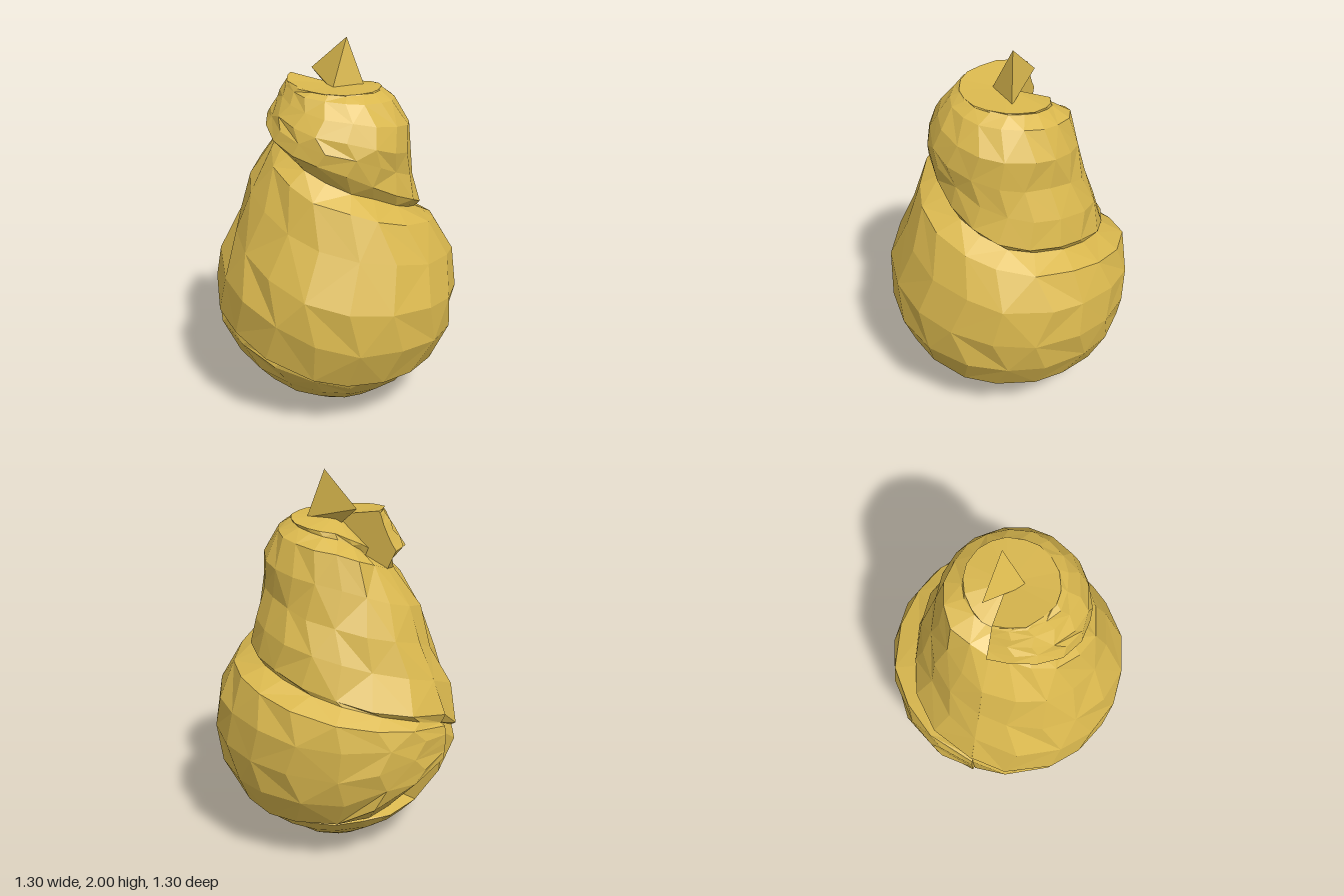
import * as THREE from 'three';

// Rising groove of the swirl: angle in degrees (0 = +x, 90 = +z), height, depth, gap up to the next lip
const GROOVE = [
  [-150, .27, .26, .26], [-120, .24, .2, .2], [-95, .22, .11, .04], [0, .235, .1, .03],
  [90, .285, .05, .03], [115, .36, .05, .03], [135, .46, .04, .03], [160, .53, .03, .04],
  [180, .56, .03, .05], [210, .73, .02, .05], [270, .9, 0, .04], [315, 1.01, .01, .04],
  [360, 1.07, .02, .04], [400, 1.16, .03, .06], [450, 1.3, .05, .11], [500, 1.43, .08, .09],
  [540, 1.56, .11, .05], [570, 1.57, .02, .04], [630, 1.68, 0, .03], [720, 1.745, 0, .01],
  [810, 1.765, 0, .005], [900, 1.795, 0, .01], [930, 1.795, 0, .01],
];
// Outer profile of each turn, from the base up: height, radius
const TURNS = [
  [[0, .14], [.02, .2], [.14, .385], [.2, .44], [.35, .575], [.55, .655], [.7, .64]],
  [[.25, .525], [.35, .595], [.5, .645], [.65, .658], [.85, .63], [1.05, .525], [1.15, .485],
    [1.28, .46], [1.42, .37], [1.55, .27]],
  [[.7, .62], [.8, .585], [.9, .54], [1.02, .465], [1.2, .435], [1.36, .38], [1.5, .39],
    [1.6, .365], [1.74, .28], [1.8, .25]],
  [[1.6, .19], [1.7, .21], [1.78, .25]],
];
// How far the upper turn leans forward: height, offset
const LEAN = [[1, 0], [1.2, -.015], [1.4, .02], [1.5, .03], [1.65, .03], [1.8, 0]];
const TOP = 1.765;

function sample(table, x, k) {
  let i = 1;
  while (i < table.length - 1 && x > table[i][0]) i++;
  const a = table[i - 1], b = table[i];
  return THREE.MathUtils.lerp(a[k], b[k], THREE.MathUtils.clamp((x - a[0]) / (b[0] - a[0]), 0, 1));
}

function seeded(seed) {
  return () => {
    seed = (seed * 16807) % 2147483647;
    return seed / 2147483647 - .5;
  };
}

// Radius of a turn; the third one grows smoothly out of the second
function turnRadius(n, y, deg) {
  const radius = sample(TURNS[n], y, 1);
  if (n !== 2) return radius;
  const leaning = radius + sample(LEAN, y, 1) * Math.sin(THREE.MathUtils.degToRad(deg));
  return THREE.MathUtils.lerp(sample(TURNS[1], y, 1), leaning, THREE.MathUtils.smoothstep(deg, -150, -90));
}

// One vertical section through the turns, as [radius, height] from bottom to top
function section(deg) {
  const points = [[0, 0], [.12, 0]];
  const grooves = [0, 1, 2].map(n => [1, 2, 3].map(k => sample(GROOVE, deg + 360 * n, k)));
  for (const t of [.1, .35, .62, .93]) {
    const y = grooves[0][0] * t;
    points.push([turnRadius(0, y, deg), y]);
  }
  grooves.forEach(([floor, depth, gap], n) => {
    const lip = floor + gap;
    const end = n < 2 ? grooves[n + 1][0] : TOP;
    points.push([turnRadius(n + 1, lip, deg) - depth, floor]);
    for (const t of n < 2 ? [0, .22, .46, .7, .93] : [0]) {
      const y = THREE.MathUtils.lerp(lip, end, t);
      points.push([turnRadius(n + 1, y, deg), y]);
    }
  });
  points.push([0, TOP]);
  return points;
}

// Faceted geometry from a list of corners
function faceted(corners) {
  const geometry = new THREE.BufferGeometry().setFromPoints(corners);
  geometry.computeVertexNormals();
  return geometry;
}

function swirlGeometry() {
  const random = seeded(71), columns = [], count = 18, corners = [];
  for (let i = 0; i <= count; i++) {
    const deg = -150 + i * 360 / count;
    columns.push(section(deg).map(([r, y], j) => {
      const inner = i > 0 && i < count && r > 0;
      const angle = THREE.MathUtils.degToRad(deg + (inner ? random() * 4 + (j % 2 ? 2.5 : -2.5) : 0));
      const radius = r > 0 ? r + random() * .012 : 0;
      const height = inner && y > .05 && y < 1.5 ? y + random() * .012 : y;
      return new THREE.Vector3(radius * Math.cos(angle), height, radius * Math.sin(angle));
    }));
  }
  for (let i = 0; i < count; i++) {
    for (let j = 0; j < columns[0].length - 1; j++) {
      const a = columns[i][j], b = columns[i + 1][j];
      const c = columns[i][j + 1], d = columns[i + 1][j + 1];
      if ((i + j) % 2) corners.push(a, c, b, b, c, d);
      else corners.push(a, c, d, a, d, b);
    }
  }
  // Walls closing the two ends of the coil
  const core = new THREE.Vector3(0, .9, 0);
  for (const column of [columns[0], columns[count]]) {
    for (let j = 0; j < column.length - 1; j++) corners.push(core, column[j], column[j + 1]);
  }
  return faceted(corners);
}

function tipGeometry() {
  const peak = new THREE.Vector3(.06, 2, -.015);
  const base = [[-.1, 1.82, -.145], [-.03, 1.755, .08], [.15, 1.75, 0]]
    .map(p => new THREE.Vector3(...p));
  const root = new THREE.Vector3(0, 1.7, -.02), corners = [];
  base.forEach((p, i) => {
    const next = base[(i + 1) % 3];
    corners.push(p, next, peak, next, p, root);
  });
  return faceted(corners);
}

export function createModel() {
  const gold = new THREE.MeshStandardMaterial({ color: 0xdab84e, side: THREE.DoubleSide });
  gold.name = 'gold';
  const model = new THREE.Group();
  model.name = 'swirl';

  const coils = new THREE.Mesh(swirlGeometry(), gold);
  coils.name = 'coils';
  const tip = new THREE.Mesh(tipGeometry(), gold);
  tip.name = 'tip';
  model.add(coils, tip);
  return model;
}
